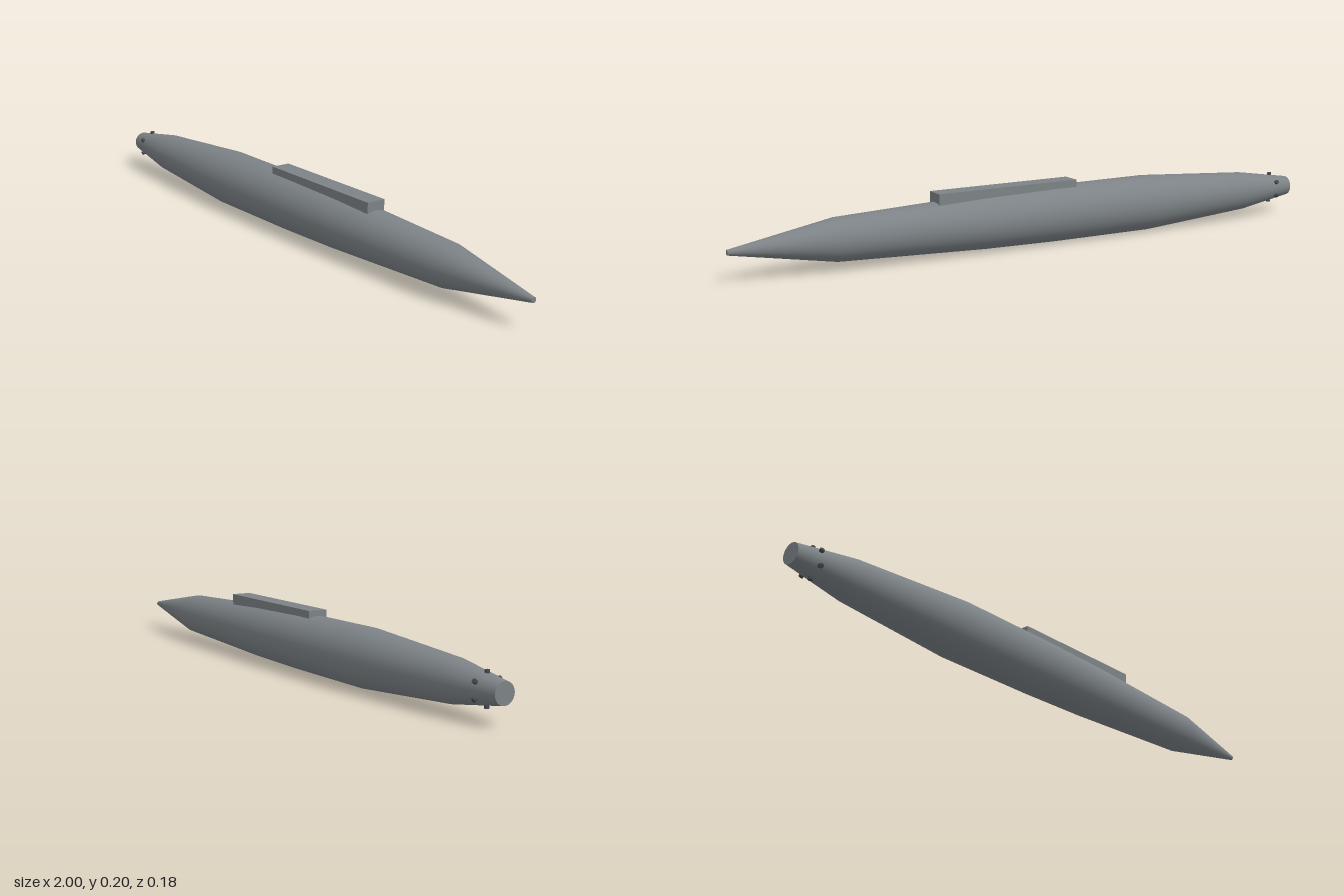
import * as THREE from 'three';

const AXIS_Y = 0.091;

export function createModel() {
  const model = new THREE.Group();
  model.name = 'submarine';
  const hullGrey = new THREE.MeshStandardMaterial({ color: 0x7c8286 });
  hullGrey.name = 'hull grey';
  const darkGrey = new THREE.MeshStandardMaterial({ color: 0x484b4e });
  darkGrey.name = 'dark grey';

  const add = (parent, name, geometry, material, x, y, z) => {
    const mesh = new THREE.Mesh(geometry, material);
    mesh.name = name;
    mesh.position.set(x, y, z);
    parent.add(mesh);
    return mesh;
  };

  // Spindle hull: radius at stations along x, from tail to nose
  const stations = [
    [-1, 0.032], [-0.8, 0.063], [-0.4, 0.0895], [-0.04, 0.0885],
    [0.2, 0.084], [0.68, 0.065], [1, 0.008],
  ];
  const profile = stations.map(([x, r]) => new THREE.Vector2(r, x));
  const hull = new THREE.LatheGeometry(profile, 48).rotateZ(-Math.PI / 2);
  add(model, 'hull', hull, hullGrey, 0, AXIS_Y, 0);

  // Flat end caps
  const tail = new THREE.CircleGeometry(0.032, 48).rotateY(-Math.PI / 2);
  add(model, 'tailCap', tail, hullGrey, -1, AXIS_Y, 0);
  const nose = new THREE.CircleGeometry(0.008, 48).rotateY(Math.PI / 2);
  add(model, 'noseCap', nose, hullGrey, 1, AXIS_Y, 0);

  // Long low deck casing sunk into the top of the hull
  add(model, 'deckCasing', new THREE.BoxGeometry(0.48, 0.056, 0.062), hullGrey, 0.12, 0.169, 0);

  // Ring of six small studs round the tail
  const studs = new THREE.Group();
  studs.name = 'tailStuds';
  studs.position.set(-0.93, AXIS_Y, 0);
  model.add(studs);
  for (let i = 0; i < 6; i++) {
    const a = Math.PI / 6 + (i * Math.PI) / 3;
    const stud = add(studs, 'tailStud', new THREE.CylinderGeometry(0.007, 0.007, 0.014, 12), darkGrey,
      0, Math.sin(a) * 0.044, Math.cos(a) * 0.044);
    stud.rotation.x = Math.PI / 2 - a;
  }
  return model;
}
